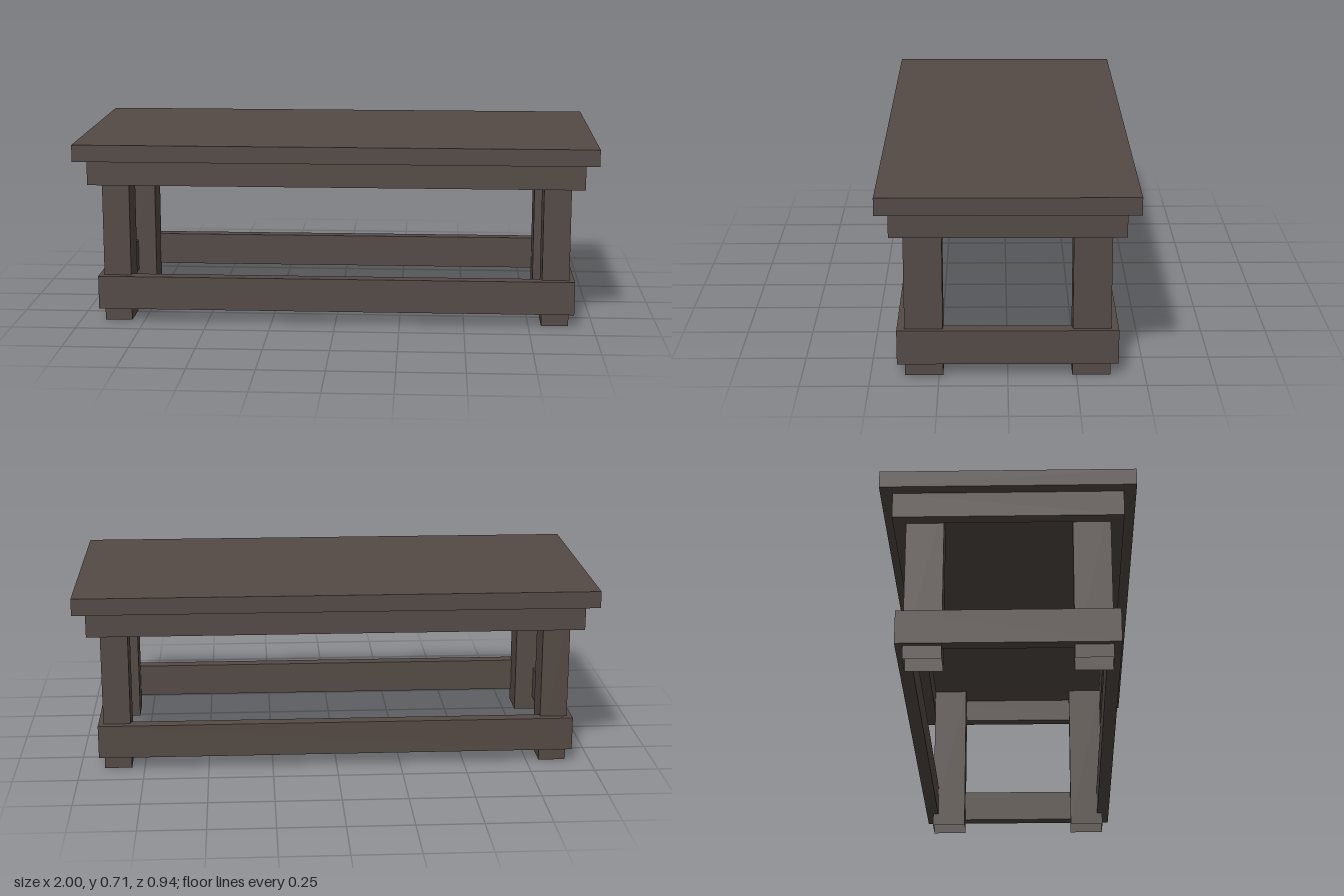
import * as THREE from 'three';

export function createModel() {
  const table = new THREE.Group();
  table.name = 'lowTable';
  const darkWood = new THREE.MeshStandardMaterial({ color: 0x544a45, side: THREE.DoubleSide });
  darkWood.name = 'darkWood';

  const add = (name, geometry, x, y, z) => {
    const mesh = new THREE.Mesh(geometry, darkWood);
    mesh.name = name;
    mesh.position.set(x, y, z);
    table.add(mesh);
  };

  // Rectangle outline centred on the origin
  const rectangle = (Type, hx, hz) =>
    new Type([[-hx, -hz], [hx, -hz], [hx, hz], [-hx, hz]].map(([x, z]) => new THREE.Vector2(x, z)));

  // Four-sided board frame, standing on its own y = 0
  const frame = (hx, hz, height, board) => {
    const shape = rectangle(THREE.Shape, hx, hz);
    shape.holes.push(rectangle(THREE.Path, hx - board, hz - board));
    return new THREE.ExtrudeGeometry(shape, { depth: height, bevelEnabled: false }).rotateX(-Math.PI / 2);
  };

  // Square-cornered tube, open at both ends
  const openPost = (w, h, d) => {
    const geometry = new THREE.CylinderGeometry(Math.SQRT1_2, Math.SQRT1_2, 1, 4, 1, true, Math.PI / 4)
      .scale(w, h, d).toNonIndexed();
    geometry.computeVertexNormals();
    return geometry;
  };

  // Table top
  add('tableTop', new THREE.BoxGeometry(2, 0.065, 0.936), 0, 0.6795, 0);

  // Apron under the top and stretcher rails around the legs
  add('apron', frame(0.953, 0.422, 0.099, 0.048), 0, 0.548, 0);
  add('stretcherRails', frame(0.925, 0.402, 0.13, 0.05), 0, 0.052, 0);

  // Legs, with open feet
  for (const sx of [-1, 1]) {
    for (const sz of [-1, 1]) {
      const name = (sz > 0 ? 'front' : 'back') + (sx > 0 ? 'Left' : 'Right') + 'Leg';
      add(name, openPost(0.105, 0.647, 0.139), sx * 0.8525, 0.3235, sz * 0.3045);
    }
  }
  return table;
}
